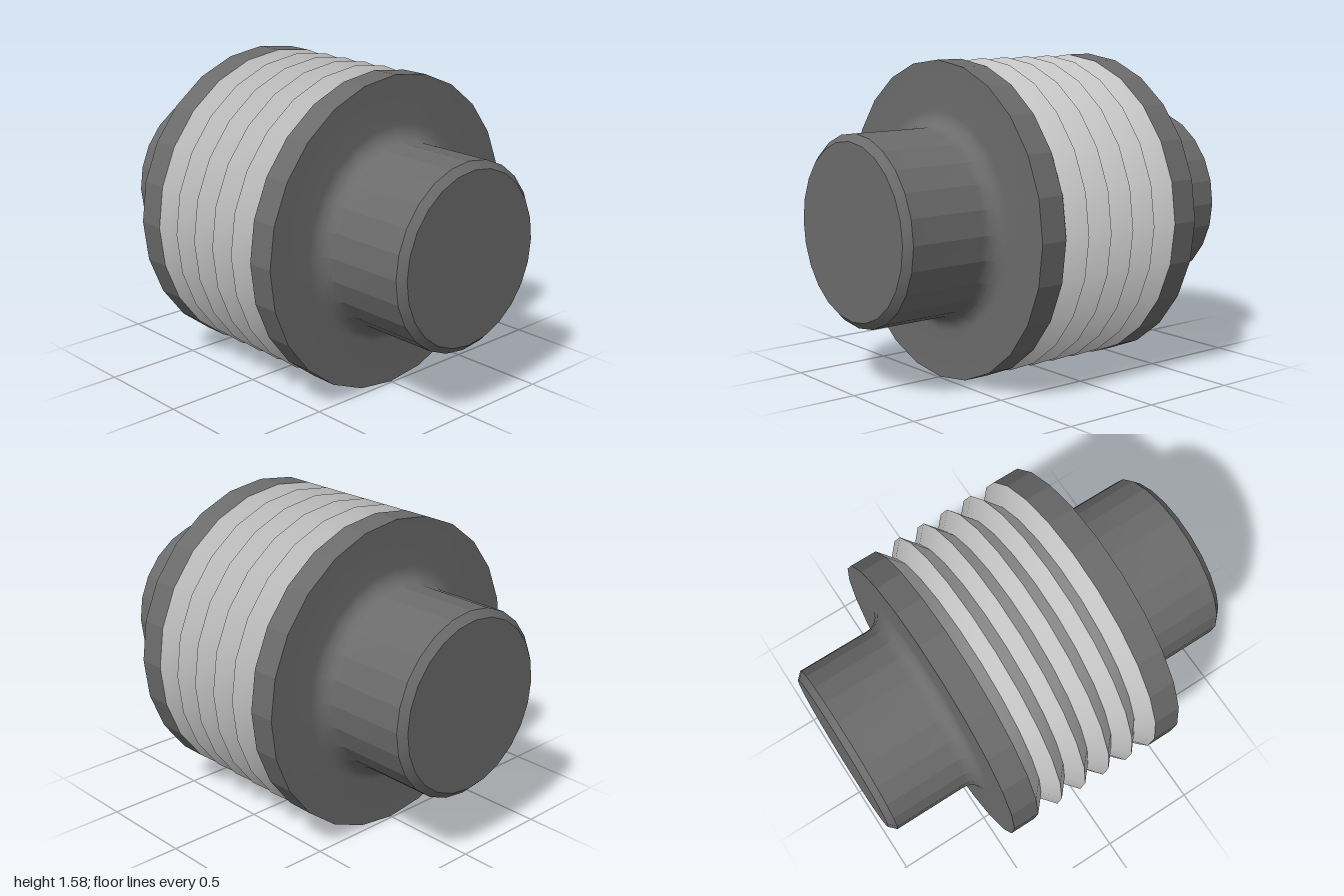
import * as THREE from 'three';
import { toCreasedNormals } from 'three/addons/utils/BufferGeometryUtils.js';

const SIDES = 24;
const RADIUS = 0.79;

// Turns [radius, x] pairs, listed with x ascending, around the x axis
function turned(name, profile, material) {
  const points = profile.map(([r, x]) => new THREE.Vector2(r, x));
  const lathe = new THREE.LatheGeometry(points, SIDES).rotateZ(-Math.PI / 2);
  const mesh = new THREE.Mesh(toCreasedNormals(lathe, THREE.MathUtils.degToRad(14)), material);
  mesh.name = name;
  return mesh;
}

export function createModel() {
  const darkSteel = new THREE.MeshStandardMaterial({ color: 0x6b6b6b });
  darkSteel.name = 'dark steel';
  const brightSteel = new THREE.MeshStandardMaterial({ color: 0xc4c4c4 });
  brightSteel.name = 'bright steel';

  const roller = new THREE.Group();
  roller.name = 'groovedRoller';

  // Chamfered shaft, blended by a concave fillet into the outer flange
  const endProfile = [[0, -1], [0.43, -1], [0.465, -0.965]];
  const fillet = 0.085;
  for (let i = 0; i <= 8; i++) {
    const a = (i / 8) * Math.PI / 2;
    endProfile.push([0.465 + fillet * (1 - Math.cos(a)), -0.49 - fillet + fillet * Math.sin(a)]);
  }
  endProfile.push([RADIUS, -0.49], [RADIUS, -0.35]);
  for (const side of ['right', 'left']) {
    const end = turned(side + 'ShaftAndFlange', endProfile, darkSteel);
    if (side === 'left') end.rotation.y = Math.PI;
    roller.add(end);
  }

  // Five V grooves between the flanges
  const grooveProfile = [];
  for (let i = 0; i <= 10; i++) {
    grooveProfile.push([i % 2 ? 0.71 : RADIUS, -0.35 + i * 0.07]);
  }
  roller.add(turned('vGrooves', grooveProfile, brightSteel));

  roller.position.y = RADIUS;
  const model = new THREE.Group();
  model.add(roller);
  return model;
}
